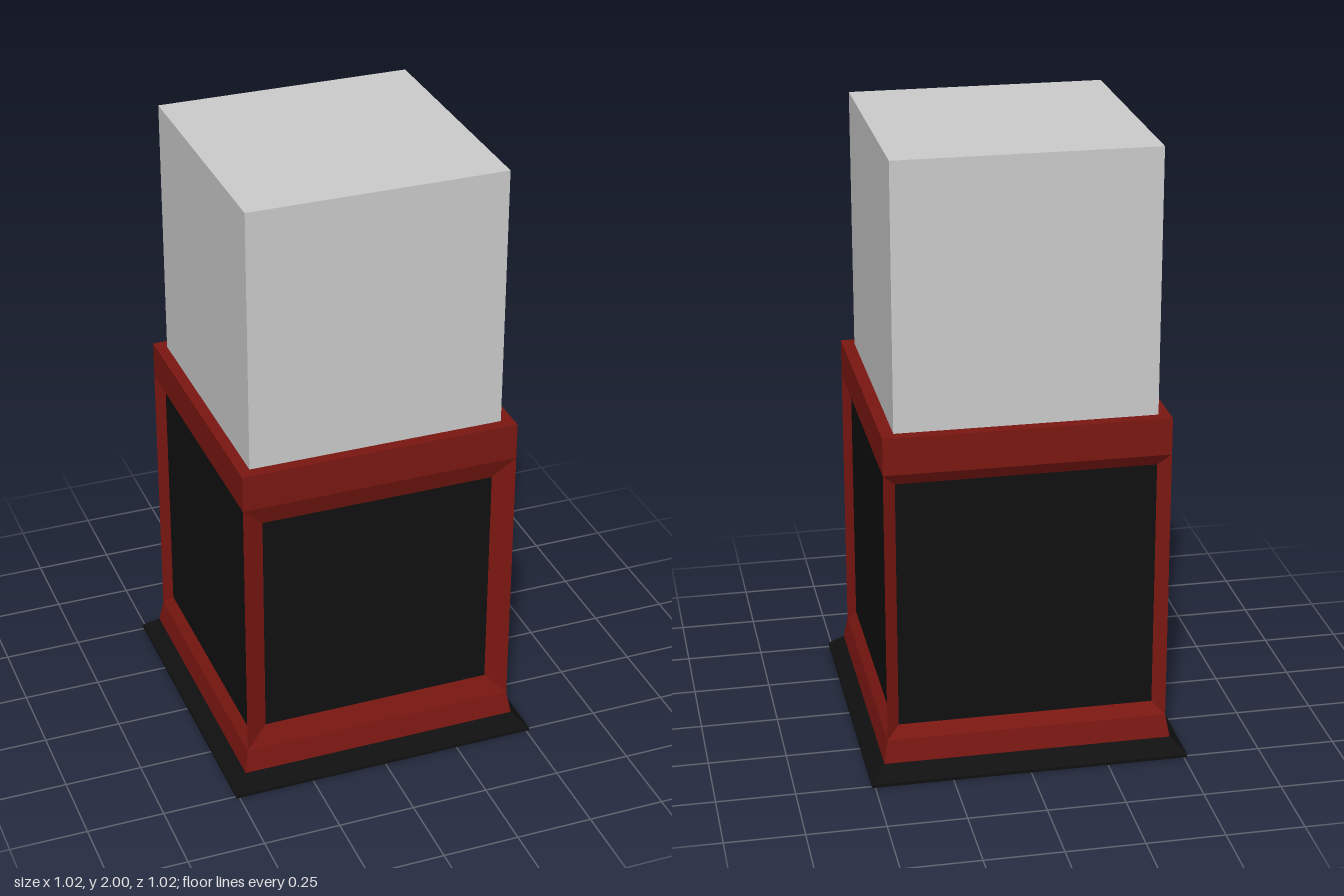
import * as THREE from 'three';

const paint = (color) => new THREE.MeshStandardMaterial({ color, flatShading: true, side: THREE.DoubleSide });

// Square tapered ring or block, measured by half-widths
function frustum(topHalf, bottomHalf, height, open = true) {
  const g = new THREE.CylinderGeometry(topHalf * Math.SQRT2, bottomHalf * Math.SQRT2, height, 4, 1, open);
  return g.rotateY(Math.PI / 4);
}

export function createModel() {
  const model = new THREE.Group();
  model.name = 'pedestal';
  const red = paint(0x7b1711), black = paint(0x101010), grey = paint(0xcccccc);

  const add = (parent, name, geometry, material, x = 0, y = 0, z = 0) => {
    const mesh = new THREE.Mesh(geometry, material);
    mesh.name = name;
    mesh.position.set(x, y, z);
    parent.add(mesh);
    return mesh;
  };
  const layer = (name, y0, y1, bottomHalf, topHalf, material) =>
    add(model, name, frustum(topHalf, bottomHalf, y1 - y0), material, 0, (y0 + y1) / 2, 0);
  const flat = (name, half, y, turn) =>
    add(model, name, new THREE.PlaneGeometry(half * 2, half * 2).rotateX(turn), red, 0, y, 0);

  // Base: underside, thin lip, sloping skirt and flared foot
  flat('underside', 0.51, 0, Math.PI / 2);
  layer('skirtLip', 0, 0.01, 0.51, 0.51, black);
  layer('skirt', 0.01, 0.055, 0.51, 0.463, black);
  layer('foot', 0.055, 0.13, 0.463, 0.45, red);

  // Four sides, each a bevelled frame around a sunken panel; the front bevel is wider
  const half = 0.45, depth = 0.025;
  ['front', 'left', 'back', 'right'].forEach((side, i) => {
    const inner = i === 0 ? 0.38 : 0.41;
    const group = new THREE.Group();
    group.name = side + 'Side';
    group.position.y = 0.58;
    group.rotation.y = i * Math.PI / 2;
    add(group, side + 'Frame', frustum(half, inner, depth).rotateX(Math.PI / 2), red, 0, 0, half - depth / 2);
    add(group, side + 'Panel', new THREE.PlaneGeometry(inner * 2, inner * 2), black, 0, 0, half - depth);
    model.add(group);
  });

  // Upper band with its flat top
  layer('upperBand', 1.03, 1.15, half, half, red);
  flat('ledge', half, 1.15, -Math.PI / 2);

  // Display cube
  add(model, 'displayCube', new THREE.BoxGeometry(0.824, 0.85, 0.824), grey, -0.002, 1.575, 0);

  return model;
}
